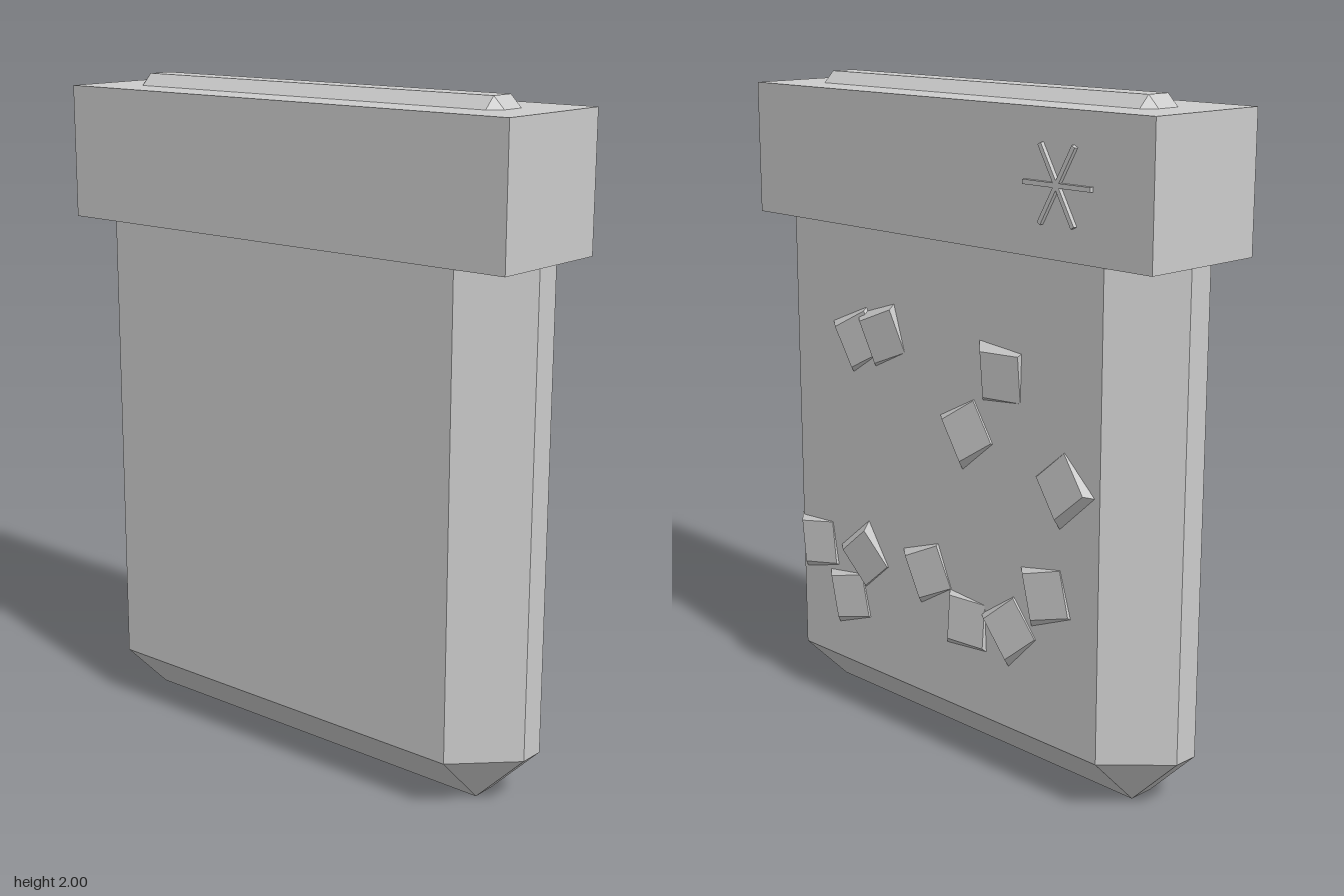
import * as THREE from 'three';
import { ConvexGeometry } from 'three/addons/geometries/ConvexGeometry.js';

const material = new THREE.MeshStandardMaterial({ color: 0xcccccc, flatShading: true });
const rad = THREE.MathUtils.degToRad;

function add(parent, name, geometry, x, y, z) {
  const mesh = new THREE.Mesh(geometry, material);
  mesh.name = name;
  mesh.position.set(x, y, z);
  parent.add(mesh);
  return mesh;
}

// Box with every edge and corner cut off: each face is inset by the bevel
function chamferedBox(hx, hy, hz, bevel) {
  const points = [];
  for (const sx of [-1, 1]) for (const sy of [-1, 1]) for (const sz of [-1, 1]) {
    const x = hx - bevel, y = hy - bevel, z = hz - bevel;
    points.push(
      new THREE.Vector3(sx * hx, sy * y, sz * z),
      new THREE.Vector3(sx * x, sy * hy, sz * z),
      new THREE.Vector3(sx * x, sy * y, sz * hz));
  }
  return new ConvexGeometry(points);
}

export function createModel() {
  const model = new THREE.Group();
  model.name = 'slab';

  // Chamfered body and the square collar around its top
  add(model, 'body', chamferedBox(0.2, 1, 0.8, 0.161), -0.012, 1, 0);
  add(model, 'collar', new THREE.BoxGeometry(0.41, 0.4, 1.612), -0.013, 1.765, 0);

  // Side decoration, laid out with x to the right and y up, then turned to face +x
  const side = new THREE.Group();
  side.name = 'sideDecoration';
  side.rotation.y = Math.PI / 2;
  model.add(side);

  // Bevelled chips: x, y, turn, direction of the raised edge (degrees)
  const chips = [
    [-0.34, 1.225, 28, 175], [-0.228, 1.25, 22, 150], [0.27, 1.212, 1, 150],
    [0.133, 1.03, 33, 215], [0.5, 0.945, 41, -60], [-0.548, 0.53, 9, 205],
    [-0.325, 0.53, 40, 135], [-0.4, 0.385, 14, 200], [-0.035, 0.56, 25, 190],
    [0.13, 0.447, 0, 215], [0.308, 0.475, 40, 215], [0.45, 0.615, 16, 210],
  ];
  const chip = new THREE.CylinderGeometry(0.067 * Math.SQRT2, 0.09 * Math.SQRT2, 0.03, 4)
    .rotateY(Math.PI / 4).rotateX(Math.PI / 2).translate(0, 0, -0.015);
  const out = new THREE.Vector3(0, 0, 1);
  const tilt = rad(8);
  for (const [x, y, turn, raised] of chips) {
    const a = rad(raised);
    const normal = new THREE.Vector3(
      -Math.sin(tilt) * Math.cos(a), -Math.sin(tilt) * Math.sin(a), Math.cos(tilt));
    add(side, 'chip', chip, x, y, 0.201).quaternion
      .setFromUnitVectors(out, normal)
      .multiply(new THREE.Quaternion().setFromAxisAngle(out, rad(turn)));
  }

  // Six-armed star made of three crossed bars
  const bar = new THREE.BoxGeometry(0.245, 0.013, 0.02);
  for (let i = 0; i < 3; i++) {
    add(side, 'starBar', bar, 0.478, 1.765, 0.194).rotation.z = i * Math.PI / 3;
  }

  return model;
}
